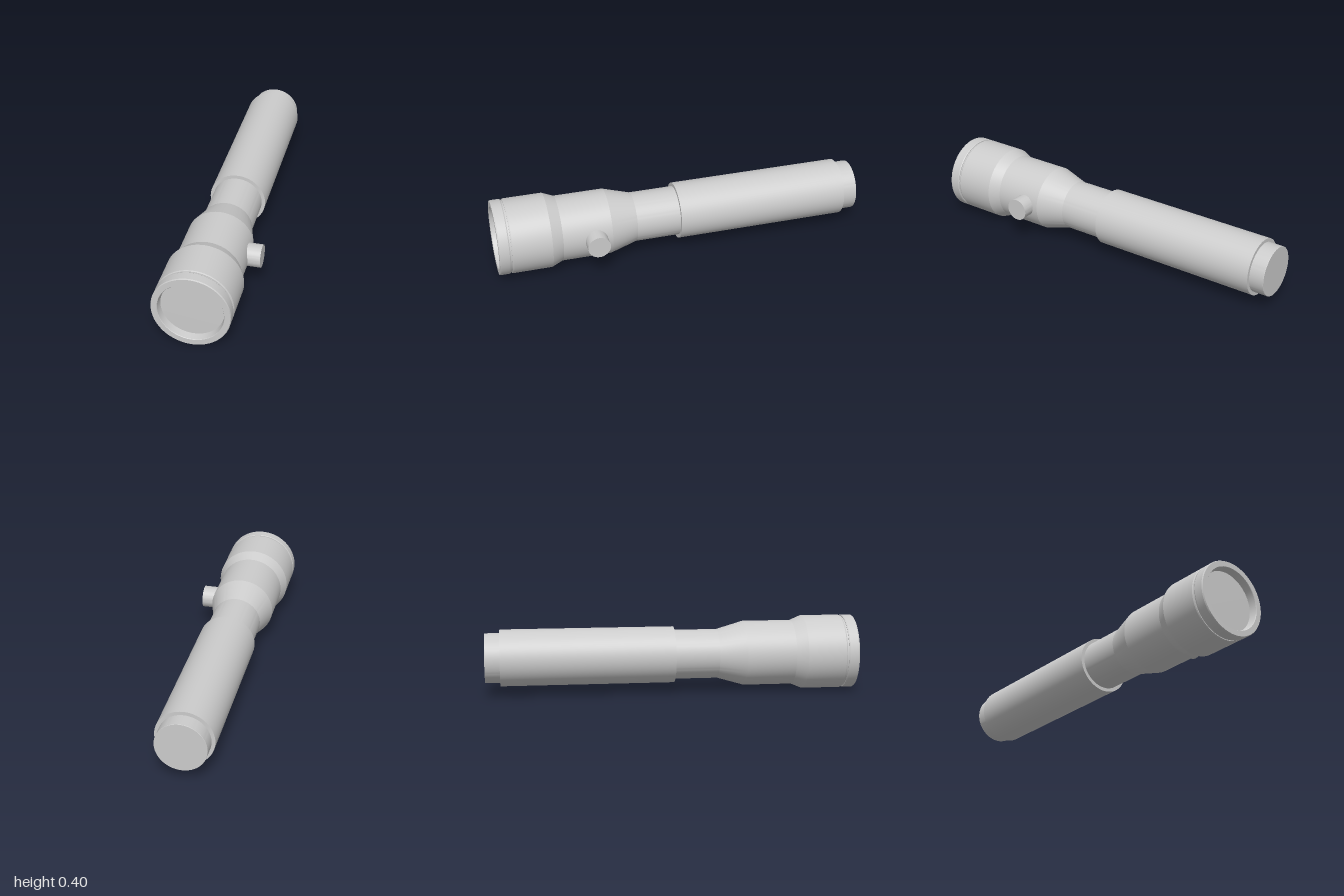
import * as THREE from 'three';
import { toCreasedNormals } from 'three/addons/utils/BufferGeometryUtils.js';

const AXIS_X = -0.02, AXIS_Y = 0.2;

export function createModel() {
  const group = new THREE.Group();
  const material = new THREE.MeshStandardMaterial({ color: 0xcccccc });

  const add = (name, geometry) => {
    const mesh = new THREE.Mesh(toCreasedNormals(geometry, 0.2), material);
    mesh.name = name;
    group.add(mesh);
    return mesh;
  };

  // Turned part along z; profile points are [radius, z] from back to front
  const turned = (name, profile) => {
    const points = profile.map(([r, z]) => new THREE.Vector2(r, z));
    const mesh = add(name, new THREE.LatheGeometry(points, 80).rotateX(Math.PI / 2));
    mesh.position.set(AXIS_X, AXIS_Y, 0);
  };

  // Slim barrel, ending in the tail cap
  turned('barrel', [[0, -1], [0.132, -1], [0.133, -0.998], [0.133, 0.255]]);

  // Thicker grip sleeve around the barrel
  turned('gripSleeve', [[0.133, -0.92], [0.152, -0.92], [0.152, 0.012], [0.133, 0.012]]);

  // Head flaring in two steps, with a groove behind the bezel
  turned('head', [
    [0.133, 0.25], [0.175, 0.395], [0.175, 0.66], [0.2, 0.72],
    [0.2, 0.928], [0.197, 0.934], [0.193, 0.934], [0.193, 0.944],
  ]);

  // Bezel ring with bevelled edges and a recess
  turned('bezel', [
    [0.193, 0.942], [0.197, 0.942], [0.2, 0.947], [0.2, 0.994],
    [0.197, 1], [0.168, 1], [0.166, 0.997], [0.16, 0.96],
  ]);

  // Flat lens at the bottom of the recess
  turned('lens', [[0.162, 0.96], [0, 0.962]]);

  // Side switch button
  const button = add('switchButton', new THREE.CylinderGeometry(0.06, 0.06, 0.12, 48).rotateZ(-Math.PI / 2));
  button.position.set(0.16, AXIS_Y, 0.483);

  return group;
}
